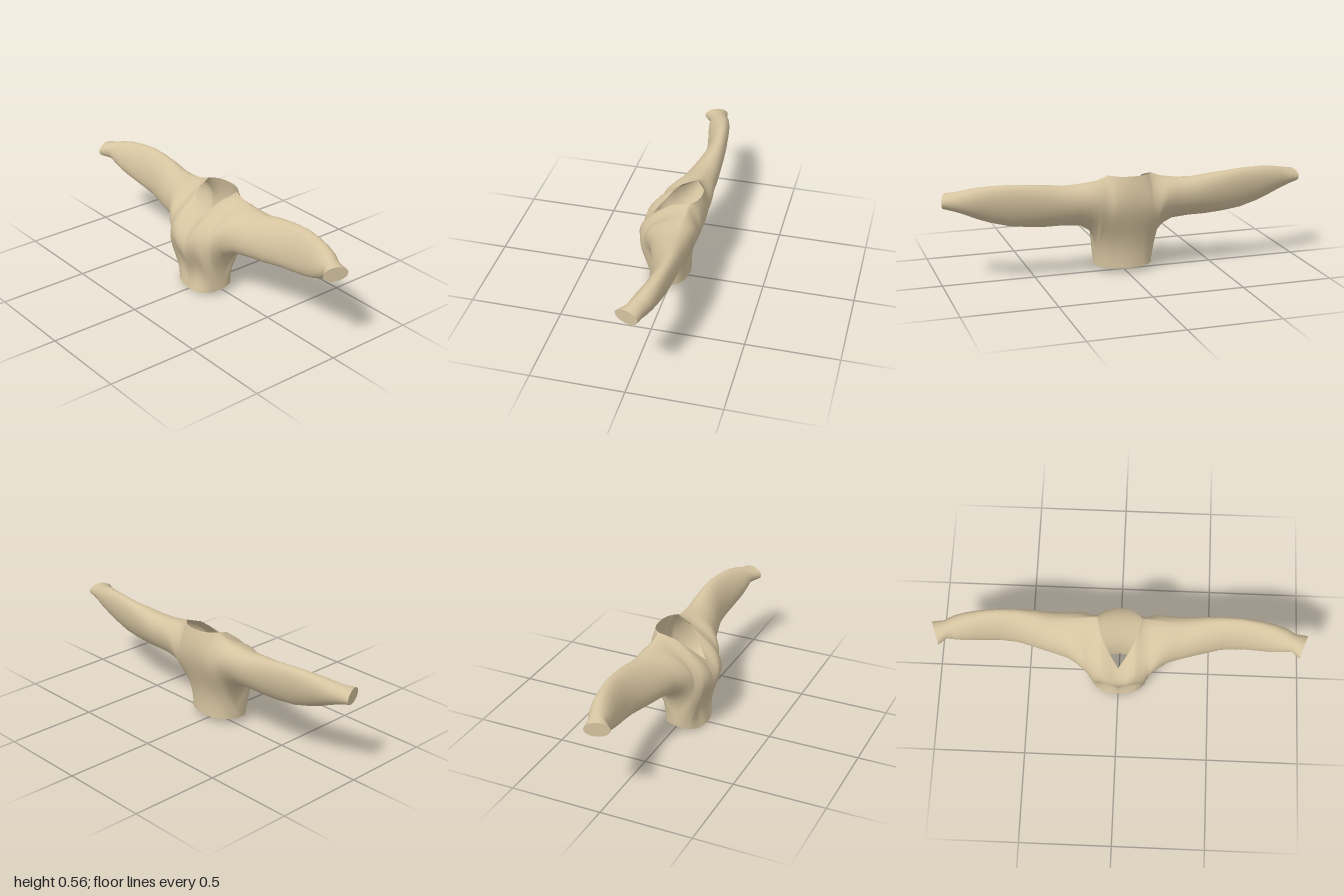
import * as THREE from 'three';
import { mergeVertices } from 'three/addons/utils/BufferGeometryUtils.js';

const ROWS = 20;

// Columns between neckline and hem, from the centre outwards:
// top x, front top y z, back top y z, hem x, front hem y z, back hem y z, front bulge pair, back bulge pair
const CENTRE = [
  [0, 0.385, 0.12, 0.555, -0.155, 0, 0, 0.135, 0.03, -0.093, 0.032, 0.018, 0.016, 0.021],
  [0.04, 0.44, 0.075, 0.555, -0.152, 0.045, 0.002, 0.133, 0.03, -0.088, 0.056, 0.045, 0.02, 0.022],
  [0.08, 0.5, 0.02, 0.556, -0.138, 0.09, 0.006, 0.12, 0.031, -0.076, 0.092, 0.044, 0.03, 0.025],
  [0.1, 0.53, -0.02, 0.557, -0.122, 0.12, 0.012, 0.105, 0.032, -0.06, 0.118, 0.036, 0.045, 0.026],
  [0.118, 0.557, -0.1, 0.557, -0.1, 0.145, 0.02, 0.08, 0.034, -0.035, 0.168, 0.032, 0.062, 0.028],
];
// Shoulder columns, from the hem corner up the side seam to the underarm:
// top x y z, bottom x y z, front bulge, back bulge, upward shift of the bulge
const SHOULDER = [
  [0.15, 0.545, -0.1, 0.165, 0.035, 0.02, 0.168, 0.085, 0.03],
  [0.18, 0.535, -0.1, 0.153, 0.11, 0.01, 0.17, 0.093, 0.022],
  [0.21, 0.53, -0.098, 0.168, 0.185, 0, 0.165, 0.1, 0.014],
  [0.25, 0.523, -0.095, 0.2, 0.24, -0.012, 0.144, 0.1, 0.006],
  [0.3, 0.518, -0.093, 0.255, 0.275, -0.02, 0.112, 0.098, 0],
  [0.36, 0.515, -0.092, 0.35, 0.287, -0.03, 0.09, 0.094, 0],
];
// Sleeve columns: x, top y, bottom y, front z, back z, forward lean of the underside, slant
const SLEEVE = [
  [0.45, 0.53, 0.291, 0.005, -0.157, 0.03, 0],
  [0.55, 0.54, 0.302, -0.022, -0.153, 0.028, 0],
  [0.65, 0.548, 0.315, -0.026, -0.145, 0.026, 0],
  [0.75, 0.545, 0.34, -0.012, -0.133, 0.024, 0],
  [0.82, 0.538, 0.365, 0.003, -0.122, 0.02, 0],
  [0.88, 0.525, 0.392, 0.01, -0.106, 0.012, 0.08],
  [0.925, 0.513, 0.41, 0.012, -0.082, 0, 0.2],
  [0.978, 0.502, 0.425, 0.053, -0.073, 0, 0.36],
];

// One seam-to-seam curve of a panel; side is 1 for the front, -1 for the back.
// Roundness 1 follows a half ellipse, 0 a shallow wave that leaves the seam gently.
function curve(top, bottom, bulge, shift, side, roundTop, roundBottom, slant = 0) {
  const points = [];
  for (let j = 0; j <= ROWS; j++) {
    const t = j / ROWS, a = Math.PI * t;
    const s = THREE.MathUtils.lerp(t, (1 - Math.cos(a)) / 2, t < 0.5 ? roundTop : roundBottom);
    const p = new THREE.Vector3().lerpVectors(top, bottom, s);
    const out = side * (bulge * Math.sin(a) + shift * Math.sin(2 * a));
    p.z += out;
    p.x -= slant * out;
    points.push(p);
  }
  return points;
}

function halfColumns() {
  const V = (x, y, z) => new THREE.Vector3(x, y, z);
  const closed = (top, bottom, f, b, shift, roundTop, roundBottom, slant) => ({
    front: curve(top, bottom, f, shift, 1, roundTop, roundBottom, slant),
    back: curve(top, bottom, b, shift, -1, roundTop, roundBottom, slant),
  });
  return [
    ...CENTRE.map(([x, fy, fz, by, bz, hx, hfy, hfz, hby, hbz, f, fs, b, bs]) => ({
      front: curve(V(x, fy, fz), V(hx, hfy, hfz), f, fs, 1, 0, 0),
      back: curve(V(x, by, bz), V(hx, hby, hbz), b, bs, -1, 0, 0),
    })),
    ...SHOULDER.map(([x, y, z, bx, by, bz, f, b, s], i) => {
      const k = (i + 1) / SHOULDER.length;
      return closed(V(x, y, z), V(bx, by, bz), f, b, s, k, Math.sqrt(k));
    }),
    ...SLEEVE.map(([x, yt, yb, zf, zb, lean, slant]) => {
      const mid = (zf + zb) / 2, half = (zf - zb) / 2;
      const r = Math.sqrt(half * half - lean * lean);
      return closed(V(x, yt, mid - lean), V(x, yb, mid + lean), r, r, 0, 1, 1, slant);
    }),
  ];
}

function geometryFrom(points, index) {
  const g = new THREE.BufferGeometry().setFromPoints(points);
  g.setIndex(index);
  const merged = mergeVertices(g, 1e-5);
  merged.computeVertexNormals();
  return merged;
}

export function createModel() {
  const cloth = new THREE.MeshStandardMaterial({ color: 0xd6c4a0, side: THREE.DoubleSide });
  cloth.name = 'tan cloth';
  const group = new THREE.Group();
  group.name = 'sweater';
  const add = (name, geometry) => {
    const mesh = new THREE.Mesh(geometry, cloth);
    mesh.name = name;
    group.add(mesh);
  };

  // Mirror the columns so they run from one cuff to the other
  const half = halfColumns();
  const flip = (list) => list.map((p) => new THREE.Vector3(-p.x, p.y, p.z));
  const columns = [
    ...half.slice(1).reverse().map((c) => ({ front: flip(c.front), back: flip(c.back) })),
    ...half,
  ];

  // Front and back panels, joined along the shoulder and underarm seams
  const points = [], index = [];
  for (const side of ['front', 'back']) {
    const start = points.length;
    columns.forEach((c) => points.push(...c[side]));
    for (let i = 0; i < columns.length - 1; i++) {
      for (let j = 0; j < ROWS; j++) {
        const a = start + i * (ROWS + 1) + j, b = a + ROWS + 1;
        if (side === 'front') index.push(a, a + 1, b, b, a + 1, b + 1);
        else index.push(a, b, a + 1, b, b + 1, a + 1);
      }
    }
  }
  add('body and sleeves', geometryFrom(points, index));

  // Flat ends closing the cuffs
  for (const [name, c, left] of [
    ['right cuff end', columns[0], false],
    ['left cuff end', columns[columns.length - 1], true],
  ]) {
    const ring = [...c.front, ...c.back.slice(1, -1).reverse()];
    const fan = [];
    for (let i = 1; i < ring.length - 1; i++) fan.push(0, left ? i + 1 : i, left ? i : i + 1);
    add(name, geometryFrom(ring, fan));
  }
  return group;
}
